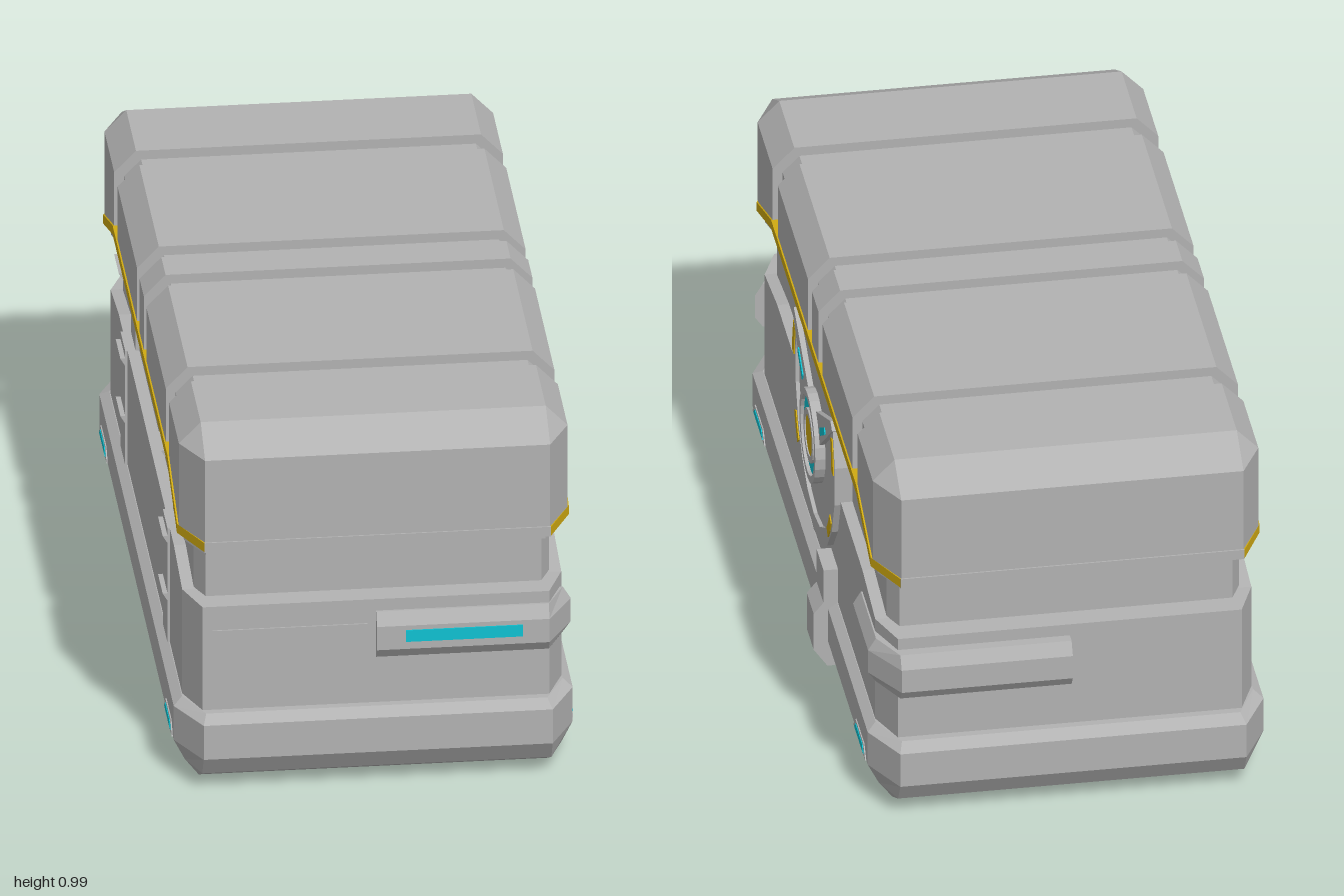
import * as THREE from 'three';

const CX = -0.02; // the case sits slightly off centre because of the latch

export function createModel() {
  const root = new THREE.Group();
  root.name = 'storageCrate';
  const mat = (name, color) => {
    const m = new THREE.MeshStandardMaterial({ color });
    m.name = name;
    return m;
  };
  const gray = mat('metalGray', 0xb2b2b2);
  const yellow = mat('trimYellow', 0xd0aa12);
  const cyan = mat('lightCyan', 0x10c2d2);

  const add = (name, geo, m, parent = root) => {
    const mesh = new THREE.Mesh(geo, m);
    mesh.name = name;
    parent.add(mesh);
    return mesh;
  };
  const box = (name, m, sx, sy, sz, x, y, z) =>
    add(name, new THREE.BoxGeometry(sx, sy, sz), m).position.set(x, y, z);

  // Flat-shaded skin over equal-sized rings of [x, y, z], with end caps
  const loft = (rings) => {
    const out = [];
    const tri = (a, b, c) => {
      const [A, B, C] = [a, b, c].map((p) => new THREE.Vector3(...p));
      if (B.sub(A).cross(C.sub(A)).length() > 1e-8) out.push(...a, ...b, ...c);
    };
    const n = rings[0].length, last = rings[rings.length - 1];
    for (let i = 0; i + 1 < rings.length; i++) {
      for (let j = 0; j < n; j++) {
        const k = (j + 1) % n, r = rings[i], s = rings[i + 1];
        tri(r[j], r[k], s[k]);
        tri(r[j], s[k], s[j]);
      }
    }
    for (let j = 1; j + 1 < n; j++) {
      tri(rings[0][0], rings[0][j + 1], rings[0][j]);
      tri(last[0], last[j], last[j + 1]);
    }
    const g = new THREE.BufferGeometry();
    g.setAttribute('position', new THREE.Float32BufferAttribute(out, 3));
    g.computeVertexNormals();
    return g;
  };

  // Mirrored cross-section from right-hand [halfWidth, y] points
  const section = (z, pts) => [
    ...pts.map(([w, y]) => [CX + w, y, z]),
    ...[...pts].reverse().map(([w, y]) => [CX - w, y, z]),
  ];
  // Rim height: high along the middle, low at both ends
  const rim = (z) => 0.77 - 0.08 * THREE.MathUtils.clamp((Math.abs(z) - 0.65) / 0.22, 0, 1);

  // Chamfered slab whose top and bottom follow functions of z
  const slab = (name, m, w, wEnd, zEnd, zCorner, bottom, top) => {
    const zs = [-zEnd, -zCorner, -0.65, 0.65, zCorner, zEnd];
    add(name, loft(zs.map((z) => {
      const hw = Math.abs(z) === zEnd ? wEnd : w;
      return section(z, [[hw, bottom(z)], [hw, top(z)]]);
    })), m);
  };

  // Base tub: stacked octagons
  const octagon = (y, w, wn, z, zn) => [
    [w, zn], [w, -zn], [wn, -z], [-wn, -z], [-w, -zn], [-w, zn], [-wn, z], [wn, z],
  ].map(([px, pz]) => [CX + px, y, pz]);
  add('base', loft([
    octagon(0, 0.44, 0.44, 0.88, 0.88),
    octagon(0.045, 0.475, 0.44, 0.965, 0.88),
    octagon(0.1, 0.503, 0.44, 1, 0.88),
    octagon(0.195, 0.503, 0.44, 1, 0.88),
    octagon(0.212, 0.48, 0.43, 0.965, 0.86),
  ]), gray);

  // Body in two steps, lid lip and coloured trim
  slab('lowerBody', gray, 0.478, 0.437, 0.945, 0.845, () => 0.2,
    (z) => 0.5 + (rim(z) - 0.69) * 0.375);
  slab('upperBody', gray, 0.448, 0.423, 0.887, 0.835, () => 0.45, (z) => rim(z) - 0.03);
  slab('lidLip', gray, 0.475, 0.428, 0.94, 0.86, (z) => rim(z) - 0.045, (z) => rim(z) - 0.012);
  slab('lidTrim', yellow, 0.494, 0.437, 0.988, 0.872, (z) => rim(z) - 0.014, (z) => rim(z) + 0.011);
  for (const s of [-1, 1]) box('trimEndPlate', gray, 0.874, 0.027, 0.004, CX, 0.6885, s * 0.988);

  // Lid: raised segments over a slightly smaller core
  const lidSection = (z) => {
    const end = Math.abs(z) > 0.9;
    return section(z, end
      ? [[0.435, rim(z)], [0.435, 0.93], [0.435, 0.93]]
      : [[0.49, rim(z)], [0.49, 0.93], [0.435, 0.987]]);
  };
  [[-0.985, -0.88, -0.65], [-0.57, -0.11], [-0.05, 0.05], [0.11, 0.57], [0.65, 0.88, 0.985]]
    .forEach((zs) => add('lidSegment', loft(zs.map(lidSection)), gray));
  add('lidCore', loft([-0.66, 0.66].map((z) =>
    section(z, [[0.465, 0.765], [0.465, 0.918], [0.422, 0.962]]))), gray);

  // Handles wrapping the left corners, front and back
  const handle = (name, plan) => {
    const level = (y, k) => plan.map(([x, z, ix, iz]) => [x - k * ix, y, z - k * iz]);
    add(name, loft([level(0.342, 0.02), level(0.37, 0), level(0.435, 0), level(0.468, 0.02)]), gray);
  };
  handle('frontHandle', [
    [-0.02, 0.9, 0, 0], [-0.02, 0.972, 0, 1], [0.415, 0.972, 0, 1],
    [0.48, 0.86, 1, 0], [0.42, 0.86, 0, 0],
  ]);
  handle('backHandle', [
    [0.42, -0.65, 0, 0], [0.482, -0.65, 1, 0], [0.482, -0.88, 1, 0],
    [0.415, -0.992, 0, -1], [-0.02, -0.992, 0, -1], [-0.02, -0.9, 0, 0],
  ]);
  box('handleLight', cyan, 0.295, 0.032, 0.006, 0.2, 0.407, 0.972);
  box('frontPanel', gray, 0.39, 0.052, 0.008, -0.237, 0.408, 0.945);

  // Latch on the left side
  const latch = new THREE.Shape([
    [0.42, 0.03], [0.485, 0.03], [0.52, 0.08], [0.52, 0.185],
    [0.495, 0.215], [0.495, 0.31], [0.42, 0.31],
  ].map(([x, y]) => new THREE.Vector2(x, y)));
  add('latch', new THREE.ExtrudeGeometry(latch, { depth: 0.105, bevelEnabled: false }), gray)
    .position.z = -0.277;

  // Hinge straps on the right side, with small ridges
  for (const z of [-0.5, 0.5]) {
    box('hingeStrapLower', gray, 0.03, 0.32, 0.11, -0.489, 0.37, z);
    box('hingeStrapUpper', gray, 0.04, 0.24, 0.11, -0.458, 0.62, z);
    for (const [x, y] of [[-0.505, 0.342], [-0.505, 0.503], [-0.509, 0.742]]) {
      const ridge = add('hingeRidge', new THREE.CylinderGeometry(0.013, 0.013, 0.11, 3).toNonIndexed(), gray);
      ridge.geometry.computeVertexNormals();
      ridge.rotation.x = Math.PI / 2;
      ridge.position.set(x, y, z);
    }
  }

  // Extruded flat shape helper
  const plate = (name, m, pts, z, depth, parent) => {
    const shape = new THREE.Shape(pts.map(([x, y]) => new THREE.Vector2(x, y)));
    const mesh = add(name, new THREE.ExtrudeGeometry(shape, { depth, bevelEnabled: false }), m, parent);
    mesh.position.z = z;
    return mesh;
  };

  // Marker lights on both long sides of the base
  for (const s of [-1, 1]) {
    for (const z of [-0.77, 0.77]) {
      const g = new THREE.Group();
      g.name = 'baseLight';
      g.position.set(CX + s * 0.503, 0.1, z);
      g.rotation.y = s * Math.PI / 2;
      plate('lightFrame', gray, [[-0.09, 0], [0.09, 0], [0.06, 0.033], [-0.06, 0.033]], -0.01, 0.013, g);
      plate('lightStrip', cyan, [[-0.068, 0.007], [0.068, 0.007], [0.05, 0.026], [-0.05, 0.026]], 0, 0.005, g);
      root.add(g);
    }
  }

  // Round lock on the left side, built facing local +z
  const lock = new THREE.Group();
  lock.name = 'lock';
  lock.position.set(0.42, 0.54, 0);
  lock.rotation.y = Math.PI / 2;
  root.add(lock);
  const arc = (r, a0, a1, n, cy) => Array.from({ length: n + 1 }, (_, i) => {
    const a = THREE.MathUtils.degToRad(a0 + (a1 - a0) * i / n);
    return [r * Math.cos(a), cy + r * Math.sin(a)];
  });
  const band = (name, m, r0, r1, a0, a1, n, cy, z, depth) =>
    plate(name, m, [...arc(r1, a0, a1, n, cy), ...arc(r0, a1, a0, n, cy)], z, depth, lock);
  const ring = (name, m, r0, r1, z, depth) => {
    for (const a of [0, 180]) band(name, m, r0, r1, a, a + 180, 12, 0, z, depth);
  };
  const disc = (name, m, r, z, depth) => plate(name, m, arc(r, 0, 345, 23, 0), z, depth, lock);

  plate('lockPlate', gray, arc(0.3, 153, 387, 12, 0.05), 0, 0.044, lock);
  band('lockRim', gray, 0.28, 0.325, 153, 387, 12, 0.05, 0, 0.054);
  for (const [a, b] of [[3, 21], [159, 177], [-42, -27], [207, 222]]) {
    band('rimMark', yellow, 0.288, 0.314, a, b, 2, 0.05, 0.05, 0.007);
  }
  for (const s of [-1, 1]) {
    const side = (pts) => pts.map(([x, y]) => [s * x, y]);
    plate('lockArm', gray, side([[0.05, 0.1], [0.28, 0.208], [0.305, 0.192], [0.11, 0.035]]), 0, 0.058, lock);
    plate('armLight', cyan, side([[0.128, 0.098], [0.198, 0.14], [0.208, 0.125], [0.138, 0.08]]), 0.055, 0.006, lock);
  }
  disc('hub', gray, 0.122, 0, 0.058);
  ring('hubRim', gray, 0.104, 0.122, 0.05, 0.02);
  ring('hubLight', cyan, 0.07, 0.104, 0.055, 0.006);
  ring('hubCollar', gray, 0.054, 0.071, 0.05, 0.018);
  disc('hubButton', yellow, 0.054, 0.057, 0.008);

  return root;
}
